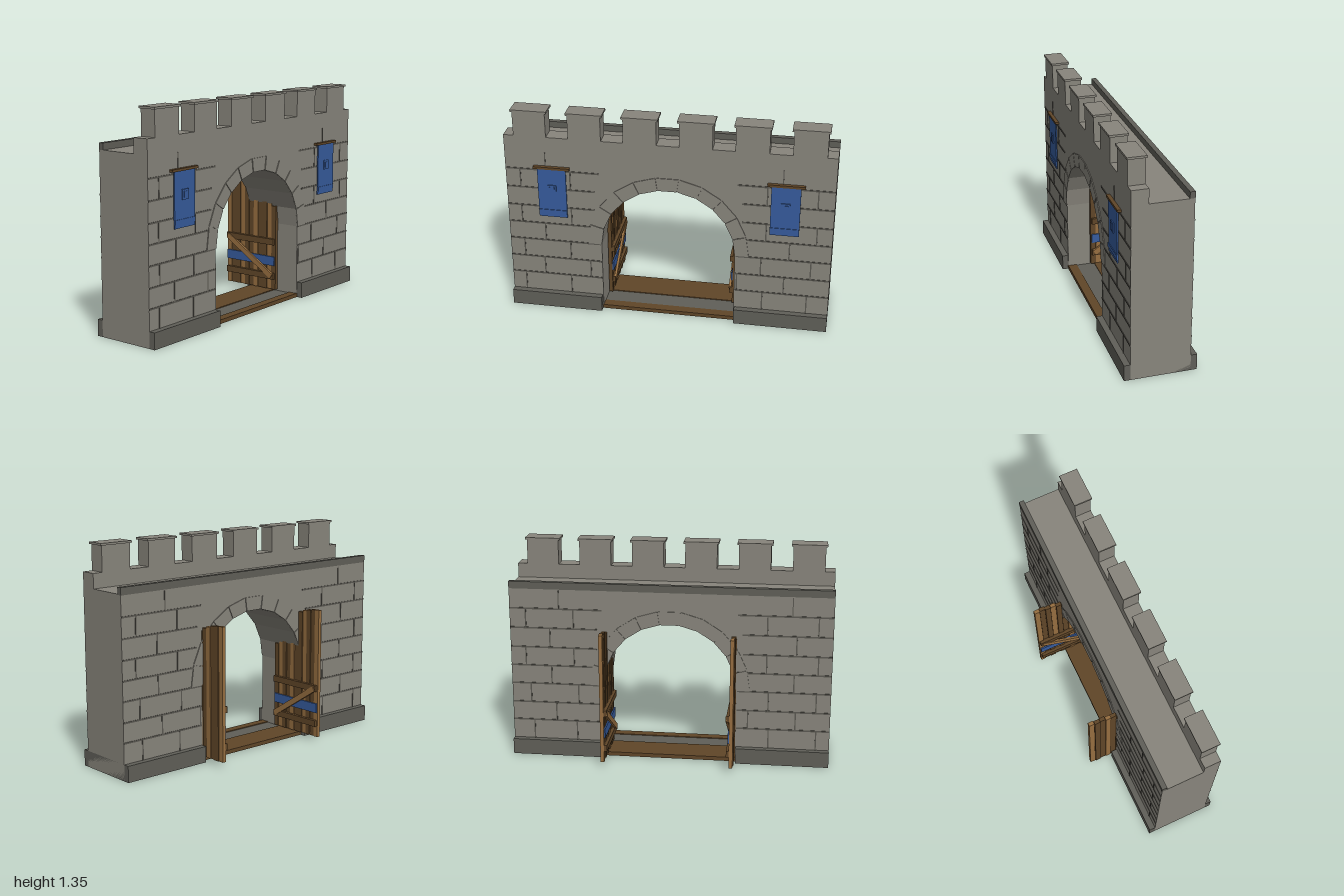
import * as THREE from 'three';

const mat = (name, color) => {
  const m = new THREE.MeshStandardMaterial({ color });
  m.name = name;
  return m;
};

export function createModel() {
  const stone = mat('stone', 0x88857c);
  const darkStone = mat('darkStone', 0x605f58);
  const mortar = mat('mortar', 0x5a5851);
  const lightWood = mat('lightWood', 0x966e40);
  const darkWood = mat('darkWood', 0x604628);
  const blue = mat('blueCloth', 0x365b9c);

  const root = new THREE.Group();
  root.name = 'castleGate';

  // Box given by its limits on each axis
  function box(name, material, x0, x1, y0, y1, z0, z1, parent = root) {
    const mesh = new THREE.Mesh(new THREE.BoxGeometry(Math.abs(x1 - x0), y1 - y0, z1 - z0), material);
    mesh.position.set((x0 + x1) / 2, (y0 + y1) / 2, (z0 + z1) / 2);
    mesh.name = name;
    parent.add(mesh);
    return mesh;
  }
  function extrude(name, material, points, z0, z1, parent = root) {
    const shape = new THREE.Shape(points.map(([x, y]) => new THREE.Vector2(x, y)));
    const mesh = new THREE.Mesh(new THREE.ExtrudeGeometry(shape, { depth: z1 - z0, bevelEnabled: false }), material);
    mesh.position.z = z0;
    mesh.name = name;
    parent.add(mesh);
  }

  const BACK = -0.107, FRONT = 0.257, R = 0.415, SPRING = 0.47, SEGS = 11;
  const onArc = (r, a) => [r * Math.cos(a), SPRING + r * Math.sin(a)];

  // Wall with the faceted archway
  const outline = [[-1, 0], [-R, 0]];
  for (let i = 0; i <= SEGS; i++) outline.push(onArc(R, Math.PI * (1 - i / SEGS)));
  outline.push([R, 0], [1, 0], [1, 1.09], [-1, 1.09]);
  extrude('wall', stone, outline, BACK, FRONT);

  // Arch stones on both faces
  const archStones = new THREE.Group();
  archStones.name = 'archStones';
  root.add(archStones);
  for (let i = 0; i < SEGS; i++) {
    const a = Math.PI * i / SEGS + 0.008, b = Math.PI * (i + 1) / SEGS - 0.008;
    const points = [onArc(R, a), onArc(0.5, a), onArc(0.5, b), onArc(R, b)];
    extrude('archStone', stone, points, FRONT, FRONT + 0.005, archStones);
    extrude('archStone', stone, points, BACK - 0.005, BACK, archStones);
  }

  // Parapet, merlons with caps, and the low rear kerb
  box('parapet', stone, -1, 1, 1.09, 1.18, 0.155, FRONT);
  for (let i = 0; i < 6; i++) {
    const x = (i - 2.5) * 0.335;
    box('merlon', stone, x - 0.1, x + 0.1, 1.18, 1.335, 0.155, FRONT);
    box('merlonCap', stone, x - 0.11, x + 0.11, 1.335, 1.348, 0.148, 0.264);
  }
  box('rearKerb', darkStone, -1, 1, 1.085, 1.13, -0.109, -0.077);

  // Mortar joints on both faces
  const joints = new THREE.Group();
  joints.name = 'mortarJoints';
  root.add(joints);
  const rows = [0.1, 0.225, 0.345, 0.47, 0.59, 0.71, 0.835, 0.96];
  const rowEnds = [0, 0.42, 0.42, 0.42, 0.42, 0.455, 0.45, 0.42];
  const jointX = {
    left: [[-0.915, -0.62], [-0.785, -0.49], [-0.91, -0.615], [-0.77, -0.46], [-0.915, -0.6], [-0.78], [-0.91, -0.6]],
    right: [[0.59, 0.865], [0.43, 0.72], [0.575, 0.88], [0.44, 0.745], [0.6, 0.905], [0.75], [0.6, 0.9]],
  };
  for (const [z0, z1] of [[FRONT - 0.002, FRONT + 0.003], [BACK - 0.003, BACK + 0.002]]) {
    for (const side of [-1, 1]) {
      for (let r = 1; r < rows.length; r++)
        box('bedJoint', mortar, side * rowEnds[r], side, rows[r] - 0.005, rows[r] + 0.005, z0, z1, joints);
      jointX[side < 0 ? 'left' : 'right'].forEach((xs, r) => xs.forEach(x =>
        box('headJoint', mortar, x - 0.004, x + 0.004, rows[r], rows[r + 1], z0, z1, joints)));
    }
    for (const x of [-0.75, 0.69]) box('headJoint', mortar, x - 0.003, x + 0.003, 0.96, 1.08, z0, z1, joints);
  }

  // Threshold: timber sill, stone strip, timber floor
  box('frontSill', darkWood, -0.42, 0.42, 0, 0.025, 0.2, 0.258);
  box('thresholdStone', darkStone, -0.42, 0.42, 0, 0.02, 0.08, 0.2);
  box('thresholdFloor', darkWood, -0.42, 0.42, 0, 0.025, -0.11, 0.08);

  for (const s of [-1, 1]) {
    // Plinth
    box('plinth', darkStone, s * 0.42, s, 0, 0.1, -0.145, 0.295);

    // Hanging banner
    const banner = new THREE.Group();
    banner.name = 'banner';
    root.add(banner);
    const c = s * 0.71;
    box('bannerRod', darkWood, c - 0.112, c + 0.112, 0.975, 0.99, 0.257, 0.28, banner);
    box('bannerCloth', blue, c - 0.088, c + 0.088, 0.65, 0.975, 0.266, 0.274, banner);
    box('bannerEmblem', blue, c - 0.027, c + 0.027, 0.81, 0.87, 0.274, 0.28, banner);
    box('bannerEmblemCentre', blue, c - 0.016, c + 0.016, 0.822, 0.858, 0.28, 0.283, banner);
    box('bannerHem', blue, c - 0.088, c + 0.088, 0.672, 0.7, 0.274, 0.278, banner);

    // Open door leaf; plank tops follow the arch
    const door = new THREE.Group();
    door.name = 'doorLeaf';
    root.add(door);
    const N = 11, w = 0.4 / N, hinge = 0.107;
    for (let i = 0; i < N; i++) {
      const k = 0.385 - Math.min((i + 0.5) * w, 0.385);
      const top = SPRING + Math.sqrt(0.385 ** 2 - k * k);
      const z = hinge - i * w, jog = (i % 2) * 0.004;
      box('doorPlank', i % 3 === 1 ? lightWood : darkWood,
        s * (0.388 + jog), s * (0.411 + jog), 0.03, top, z - w + 0.002, z, door);
    }
    for (const y of [0.1, 0.33])
      box('doorRail', darkWood, s * 0.37, s * 0.392, y, y + 0.04, -0.285, 0.1, door);
    box('doorBand', blue, s * 0.379, s * 0.388, 0.19, 0.25, -0.285, 0.1, door);
    const brace = box('doorBrace', lightWood, s * 0.365, s * 0.38, 0.217, 0.253, -0.305, 0.12, door);
    brace.rotation.x = Math.atan2(0.23, 0.36);
  }
  return root;
}
